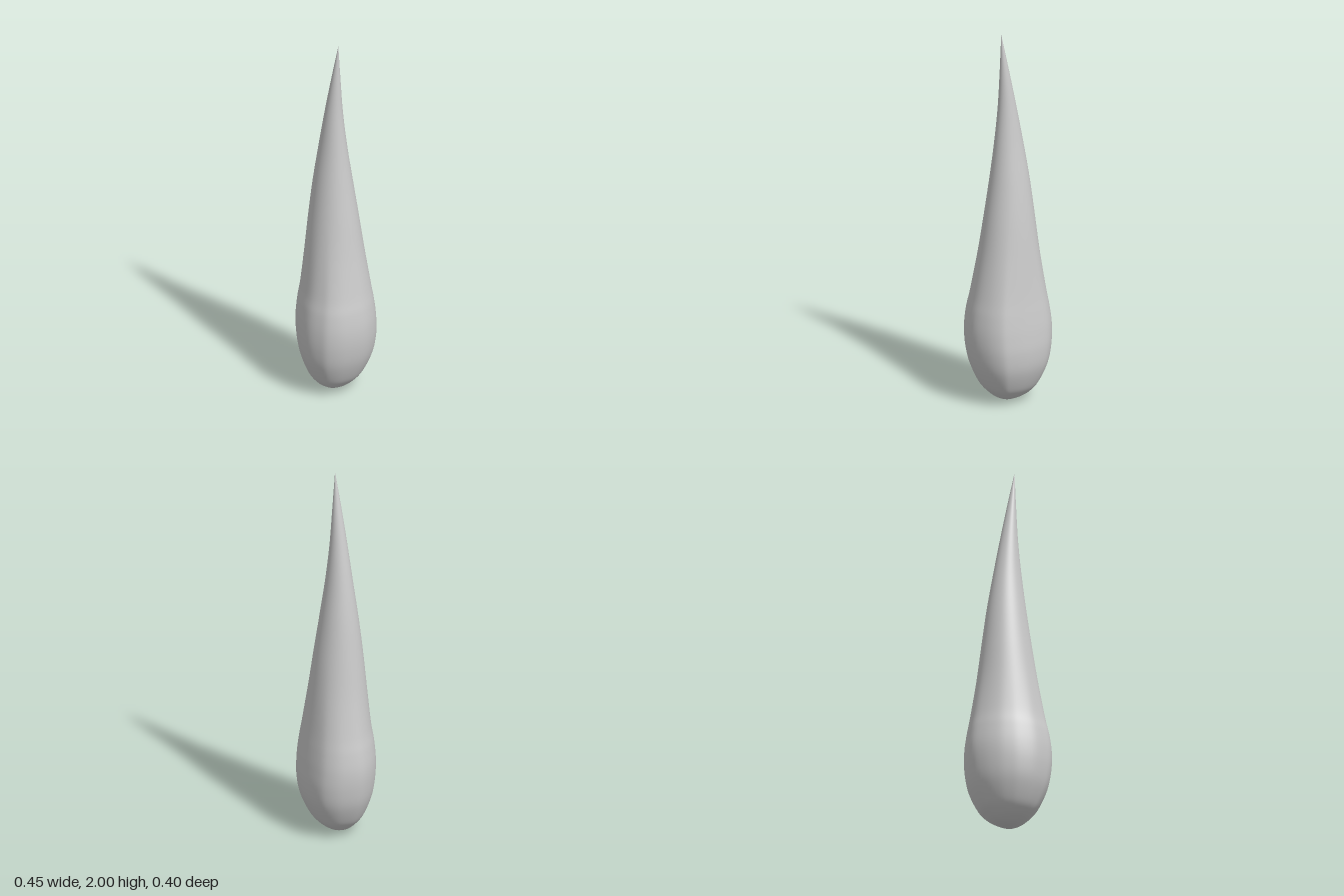
import * as THREE from 'three';

// Lopsided belly outline, scaled to -1..1 in x and z (starts at +x, turns towards +z)
const OUTLINE = [
  [1, -0.04], [0.89, 0.5], [0.67, 0.83], [0.43, 0.95], [0.12, 1], [-0.22, 0.915], [-0.45, 0.785],
  [-0.68, 0.59], [-0.89, 0.29], [-1, -0.07], [-0.89, -0.53], [-0.67, -0.82], [-0.4, -0.95],
  [0.04, -1], [0.45, -0.935], [0.68, -0.82], [0.89, -0.5],
];

// Height, then extents: min x, max x, min z, max z
const PROFILE = [
  [0, 0, 0, 0, 0],
  [0.005, -0.036, 0.036, -0.034, 0.033],
  [0.02, -0.072, 0.072, -0.067, 0.065],
  [0.05, -0.11, 0.11, -0.108, 0.105],
  [0.1, -0.152, 0.152, -0.147, 0.143],
  [0.2, -0.197, 0.196, -0.187, 0.182],
  [0.3, -0.218, 0.218, -0.2, 0.198],
  [0.4, -0.224, 0.224, -0.196, 0.199],
  [0.5, -0.213, 0.215, -0.186, 0.188],
  [0.6, -0.194, 0.196, -0.174, 0.169],
  [0.8, -0.162, 0.161, -0.153, 0.142],
  [1.0, -0.137, 0.131, -0.131, 0.117],
  [1.2, -0.112, 0.101, -0.103, 0.092],
  [1.4, -0.08, 0.075, -0.072, 0.066],
  [1.6, -0.043, 0.055, -0.046, 0.044],
  [1.8, -0.002, 0.046, -0.024, 0.023],
  [2, 0.041, 0.041, 0, 0],
];

const AROUND = 72, UP = 112;

function dropGeometry() {
  const spline = (pts, closed) => new THREE.CatmullRomCurve3(pts, closed, 'catmullrom', 0.5);
  const outline = spline(OUTLINE.map(([x, z]) => new THREE.Vector3(x, 0, z)), true);
  const low = spline(PROFILE.map(p => new THREE.Vector3(p[1], p[0], p[3])), false);
  const high = spline(PROFILE.map(p => new THREE.Vector3(p[2], p[0], p[4])), false);
  const section = Array.from({ length: AROUND }, (_, j) => outline.getPoint(j / AROUND));

  const positions = [], index = [];
  for (let i = 0; i <= UP; i++) {
    const a = low.getPoint(i / UP), b = high.getPoint(i / UP);
    // The section turns from the lopsided belly into a plain ellipse higher up
    const round = THREE.MathUtils.smoothstep(a.y, 0.4, 1.1);
    for (const p of section) {
      const q = p.clone().lerp(p.clone().normalize(), round);
      positions.push(
        (a.x + b.x) / 2 + q.x * (b.x - a.x) / 2,
        a.y,
        (a.z + b.z) / 2 + q.z * (b.z - a.z) / 2,
      );
    }
  }
  for (let i = 0; i < UP; i++) {
    for (let j = 0; j < AROUND; j++) {
      const k = (j + 1) % AROUND;
      const p = i * AROUND + j, q = i * AROUND + k, r = p + AROUND, s = q + AROUND;
      if (i > 0) index.push(p, r, q);
      if (i < UP - 1) index.push(q, r, s);
      // Close the two poles with single triangles
      if (i === 0) index.push(0, r, s);
    }
  }
  const geometry = new THREE.BufferGeometry();
  geometry.setAttribute('position', new THREE.Float32BufferAttribute(positions, 3));
  geometry.setIndex(index.filter((_, n) => !(Math.floor(n / 3) < 2 * AROUND && Math.floor(n / 3) % 2 === 0)));
  geometry.computeVertexNormals();
  return geometry;
}

export function createModel() {
  const group = new THREE.Group();
  group.name = 'drop';
  const body = new THREE.Mesh(
    dropGeometry(),
    new THREE.MeshStandardMaterial({ color: 0xcccccc }),
  );
  body.name = 'dropBody';
  group.add(body);
  return group;
}
